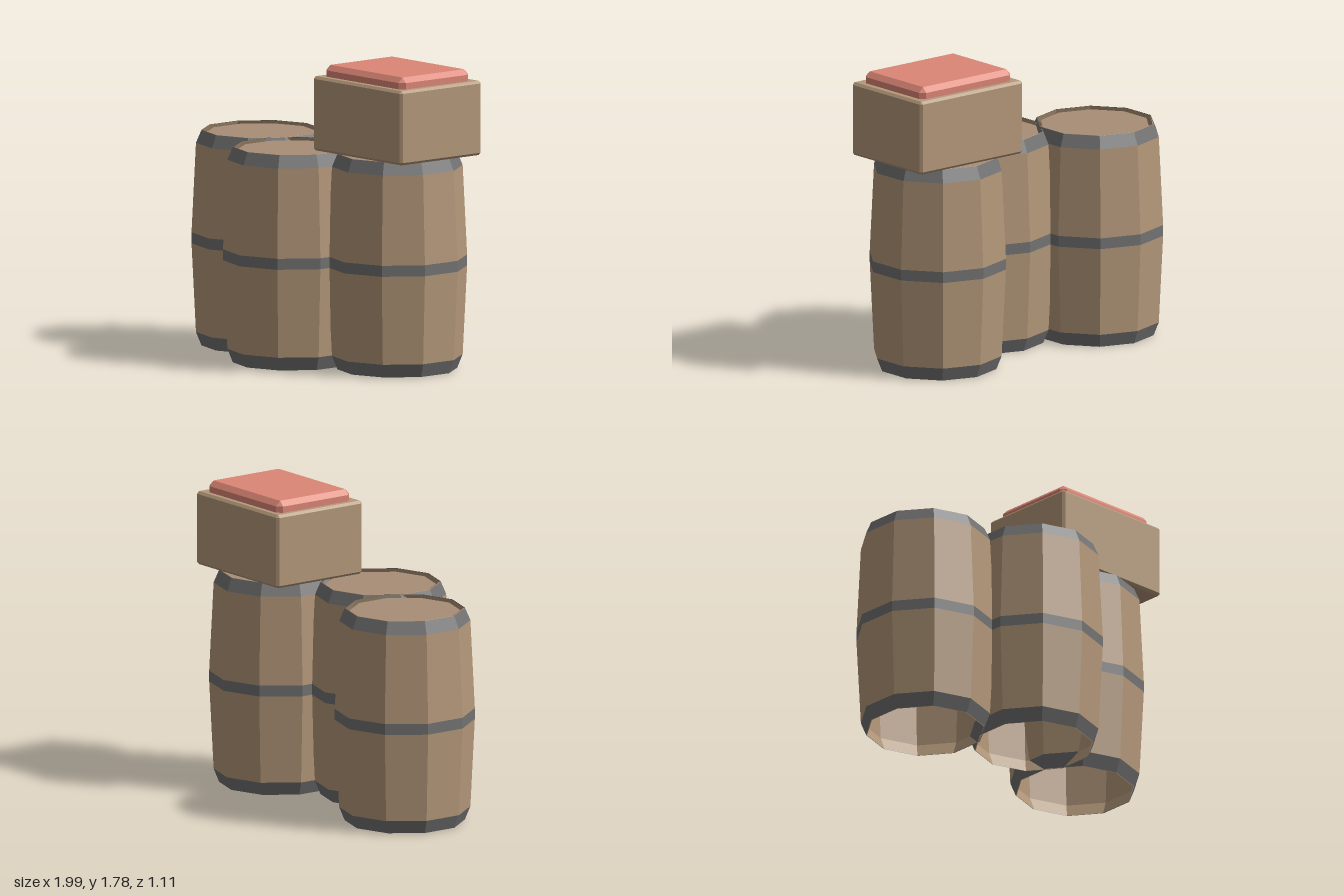
import * as THREE from 'three';
import { ConvexGeometry } from 'three/addons/geometries/ConvexGeometry.js';

const material = (color) =>
  new THREE.MeshStandardMaterial({ color, flatShading: true, side: THREE.DoubleSide });
const wood = material(0xb4987a);
const lidWood = material(0xa88e76);
const iron = material(0x727272);
const coral = material(0xdb8676);

const SIDES = 10;
// Barrel outline as [radius, height], bottom to top
const PROFILE = [[0.352, 0], [0.384, 0.08], [0.41, 0.605], [0.41, 0.67], [0.384, 1.2], [0.352, 1.275]];

function part(name, geometry, mat) {
  const mesh = new THREE.Mesh(geometry, mat);
  mesh.name = name;
  return mesh;
}

function lathe(points, inset = 0) {
  return new THREE.LatheGeometry(points.map(([r, y]) => new THREE.Vector2(r - inset, y)), SIDES);
}

function createBarrel(x, z) {
  const barrel = new THREE.Group();
  barrel.name = 'barrel';
  // Alternating iron hoops and wooden staves
  const names = ['bottomHoop', 'lowerStaves', 'middleHoop', 'upperStaves', 'topHoop'];
  names.forEach((name, i) => {
    barrel.add(part(name, lathe(PROFILE.slice(i, i + 2)), i % 2 ? wood : iron));
  });
  // Wooden inside, open at the bottom
  barrel.add(part('innerStaves', lathe(PROFILE, 0.005), wood));
  // Loose-fitting lid with a gap around it
  const lid = part('barrelLid', new THREE.CircleGeometry(0.325, SIDES), lidWood);
  lid.rotation.set(-Math.PI / 2, 0, Math.PI / 2);
  lid.position.y = 1.26;
  barrel.add(lid);
  barrel.position.set(x, 0, z);
  return barrel;
}

// Box with all edges and corners chamfered by c
function chamferBox(w, h, d, c) {
  const points = [];
  for (const sx of [-1, 1]) for (const sy of [-1, 1]) for (const sz of [-1, 1]) {
    const [x, y, z] = [w / 2, h / 2, d / 2];
    points.push(
      new THREE.Vector3(sx * x, sy * (y - c), sz * (z - c)),
      new THREE.Vector3(sx * (x - c), sy * y, sz * (z - c)),
      new THREE.Vector3(sx * (x - c), sy * (y - c), sz * z));
  }
  return new ConvexGeometry(points);
}

export function createModel() {
  const model = new THREE.Group();
  model.name = 'barrelsAndCrate';

  for (const [x, z] of [[-0.605, -0.145], [0, 0.14], [0.603, -0.145]]) model.add(createBarrel(x, z));

  // Crate resting on the left barrel
  const crate = part('crate', chamferBox(0.79, 0.44, 0.63, 0.015), wood);
  crate.position.set(0.604, 1.498, -0.143);
  const crateLid = part('crateLid', chamferBox(0.7, 0.12, 0.54, 0.03), coral);
  crateLid.position.set(0.602, 1.725, -0.145);
  model.add(crate, crateLid);

  return model;
}
